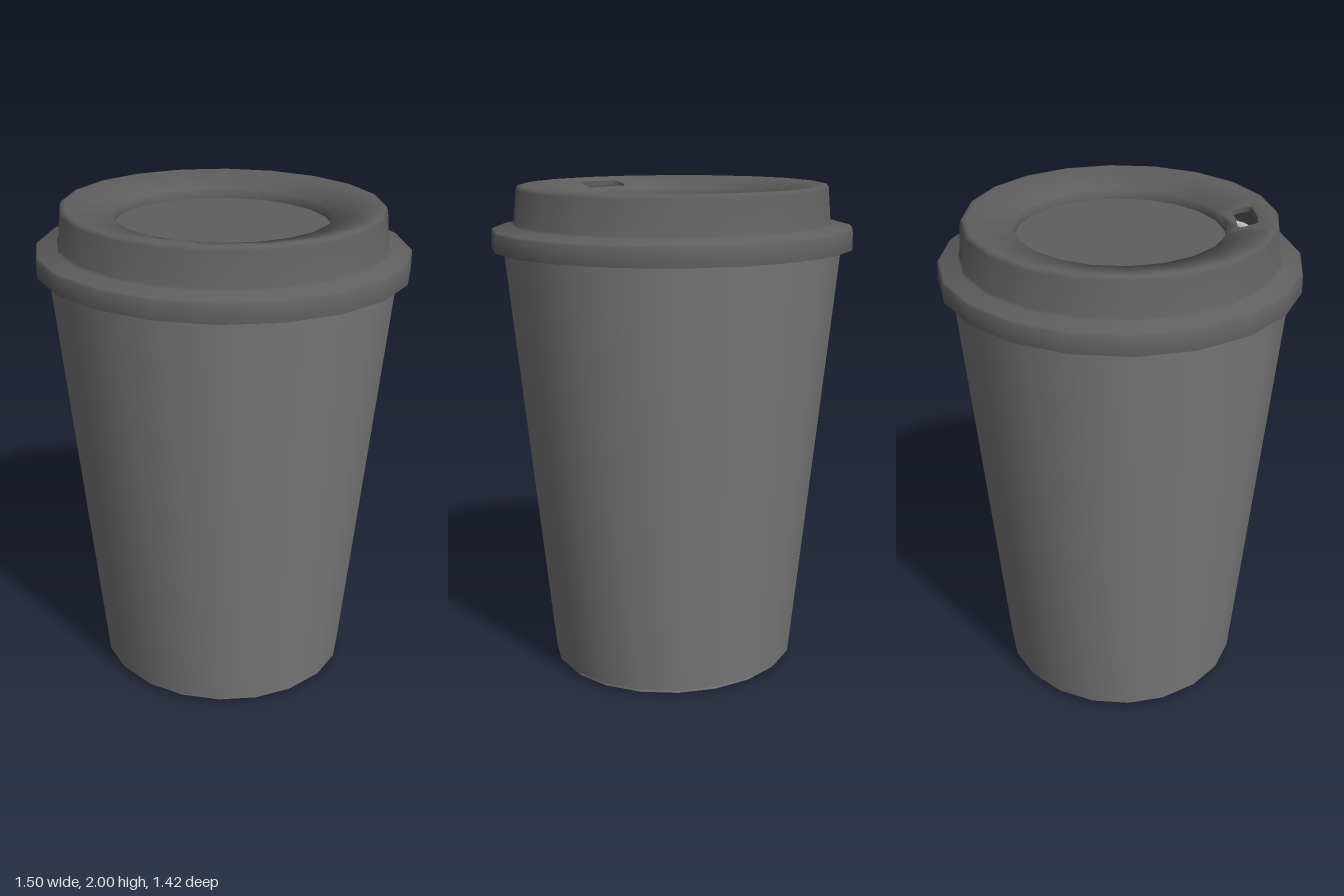
import * as THREE from 'three';
import { mergeGeometries, toCreasedNormals } from 'three/addons/utils/BufferGeometryUtils.js';

const SIDES = 20;
const STEP = (Math.PI * 2) / SIDES;
const DEPTH = 0.95; // the cup is slightly narrower front to back
const INNER = { r: 0.435, y: 1.957 }; // edges of the sloping drinking ring
const OUTER = { r: 0.62, y: 2 };

const vectors = (list) => list.map(([x, y]) => new THREE.Vector2(x, y));

function lathe(profile, skip = 0) {
  return new THREE.LatheGeometry(vectors(profile), SIDES - skip, (STEP * skip) / 2, STEP * (SIDES - skip));
}

// Joins the pieces of one part, smooth except at the sharpest edges
function makePart(name, color, pieces) {
  const plain = pieces.map((piece) => {
    const geometry = piece.toNonIndexed();
    geometry.deleteAttribute('uv');
    geometry.deleteAttribute('normal');
    return geometry;
  });
  const merged = mergeGeometries(plain);
  merged.scale(1, 1, DEPTH);
  merged.computeVertexNormals();
  const material = new THREE.MeshStandardMaterial({ color, side: THREE.DoubleSide });
  const mesh = new THREE.Mesh(toCreasedNormals(merged, 1.3), material);
  mesh.name = name;
  return mesh;
}

// Height of the faceted drinking ring at its front two facets
function ringHeight(x, z) {
  const r = z + Math.abs(x) * Math.tan(STEP / 2);
  return THREE.MathUtils.mapLinear(r, INNER.r, OUTER.r, INNER.y, OUTER.y);
}

// Outline of the sip hole, with rounded corners and a point on the facet edge
function sipOutline() {
  const half = [[0, 0.472], [0.085, 0.467], [0.097, 0.475], [0.1, 0.49], [0.098, 0.535], [0.085, 0.55], [0, 0.555]];
  const mirrored = half.slice(1, -1).reverse().map(([x, z]) => [-x, z]);
  return [...half, ...mirrored];
}

// Front two facets of the drinking ring, pierced by the sip hole
function sipPanel(outline) {
  const arc = (r) => [-1, 0, 1].map((i) => [r * Math.sin(i * STEP), -r * Math.cos(i * STEP)]);
  const shape = new THREE.Shape(vectors([...arc(OUTER.r), ...arc(INNER.r).reverse()]));
  shape.holes.push(new THREE.Path(vectors(outline.map(([x, z]) => [x, -z]))));
  const geometry = new THREE.ShapeGeometry(shape).rotateX(-Math.PI / 2);
  const p = geometry.attributes.position;
  for (let i = 0; i < p.count; i++) p.setY(i, ringHeight(p.getX(i), p.getZ(i)));
  return geometry;
}

// Short wall hanging from the edge of the sip hole
function sipWall(outline) {
  const positions = [];
  const index = [];
  const n = outline.length;
  outline.forEach(([x, z], i) => {
    const y = ringHeight(x, z);
    positions.push(x, y, z, x, y - 0.02, z);
    const a = 2 * i;
    const b = 2 * ((i + 1) % n);
    index.push(a, b, a + 1, b, b + 1, a + 1);
  });
  const geometry = new THREE.BufferGeometry();
  geometry.setAttribute('position', new THREE.Float32BufferAttribute(positions, 3));
  geometry.setIndex(index);
  return geometry;
}

export function createModel() {
  const group = new THREE.Group();
  group.name = 'takeawayCup';

  // Pale hollow cup: recessed base, rounded foot, wall and rolled rim
  group.add(makePart('innerCup', 0xcccccc, [
    lathe([
      [0, 0.055], [0.425, 0.055], [0.43, 0.02], [0.445, 0.005], [0.47, 0], [0.505, 0.002], [0.518, 0.02],
      [0.699, 1.785], [0.704, 1.798], [0.717, 1.803], [0.732, 1.785], [0.717, 1.767], [0.702, 1.767],
    ]),
  ]));

  // Darker outer layer around the wall
  group.add(makePart('outerSleeve', 0x7a7a7a, [lathe([[0.521, 0.018], [0.704, 1.78]])]));

  // Open-bottomed lid: rim, collar, sloping ring with sip hole, sunken centre
  const outline = sipOutline();
  group.add(makePart('lid', 0x5e5e5e, [
    lathe([
      [0.748, 1.75], [0.748, 1.822], [0.74, 1.83], [0.664, 1.843], [0.656, 1.852],
      [0.645, 1.982], [0.636, 1.997], [OUTER.r, OUTER.y],
    ]),
    lathe([[OUTER.r, OUTER.y], [INNER.r, INNER.y]], 2),
    lathe([[INNER.r, INNER.y], [0.432, 1.917], [0, 1.917]]),
    sipPanel(outline),
    sipWall(outline),
  ]));
  return group;
}
